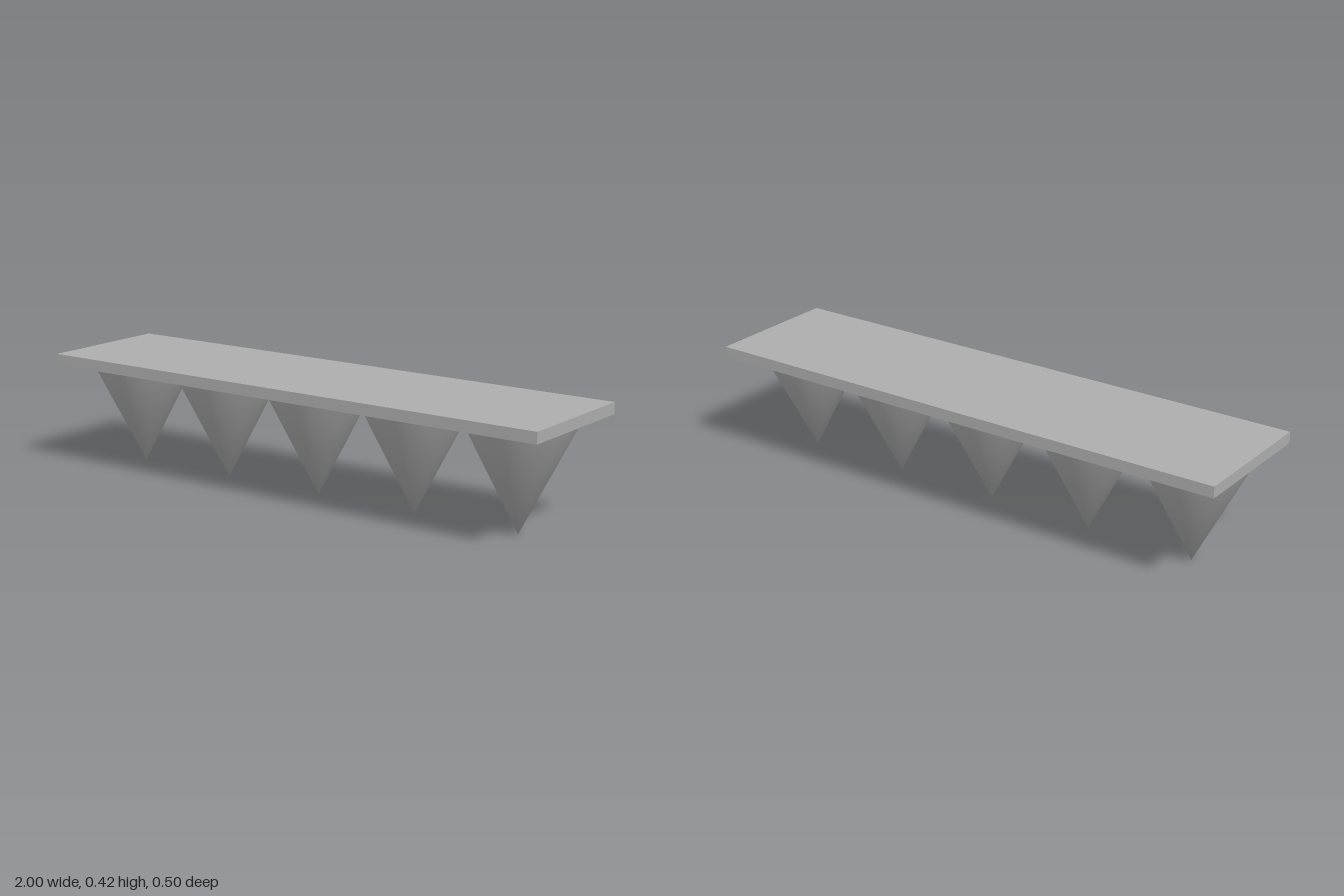
import * as THREE from 'three';

export function createModel() {
  const model = new THREE.Group();
  const material = new THREE.MeshStandardMaterial({ color: 0xadadad });

  // Flat board carrying the spikes
  const boardBottom = 0.38, boardThickness = 0.04;
  const board = new THREE.Mesh(new THREE.BoxGeometry(2, boardThickness, 0.5), material);
  board.name = 'board';
  board.position.y = boardBottom + boardThickness / 2;
  model.add(board);

  // Cone pointing down, shaded smoothly right over the tip
  const segments = 64;
  const coneGeometry = new THREE.ConeGeometry(0.19, boardBottom, segments);
  coneGeometry.rotateX(Math.PI);
  const normals = coneGeometry.attributes.normal;
  for (let i = 0; i <= segments; i++) normals.setXYZ(i, 0, -1, 0);

  // Row of spikes, bases flush with the underside of the board
  const spikes = new THREE.Group();
  spikes.name = 'spikes';
  for (let i = -2; i <= 2; i++) {
    const spike = new THREE.Mesh(coneGeometry, material);
    spike.name = `spike${i + 3}`;
    spike.position.set(i * 0.4, boardBottom / 2, 0);
    spikes.add(spike);
  }
  model.add(spikes);

  return model;
}
